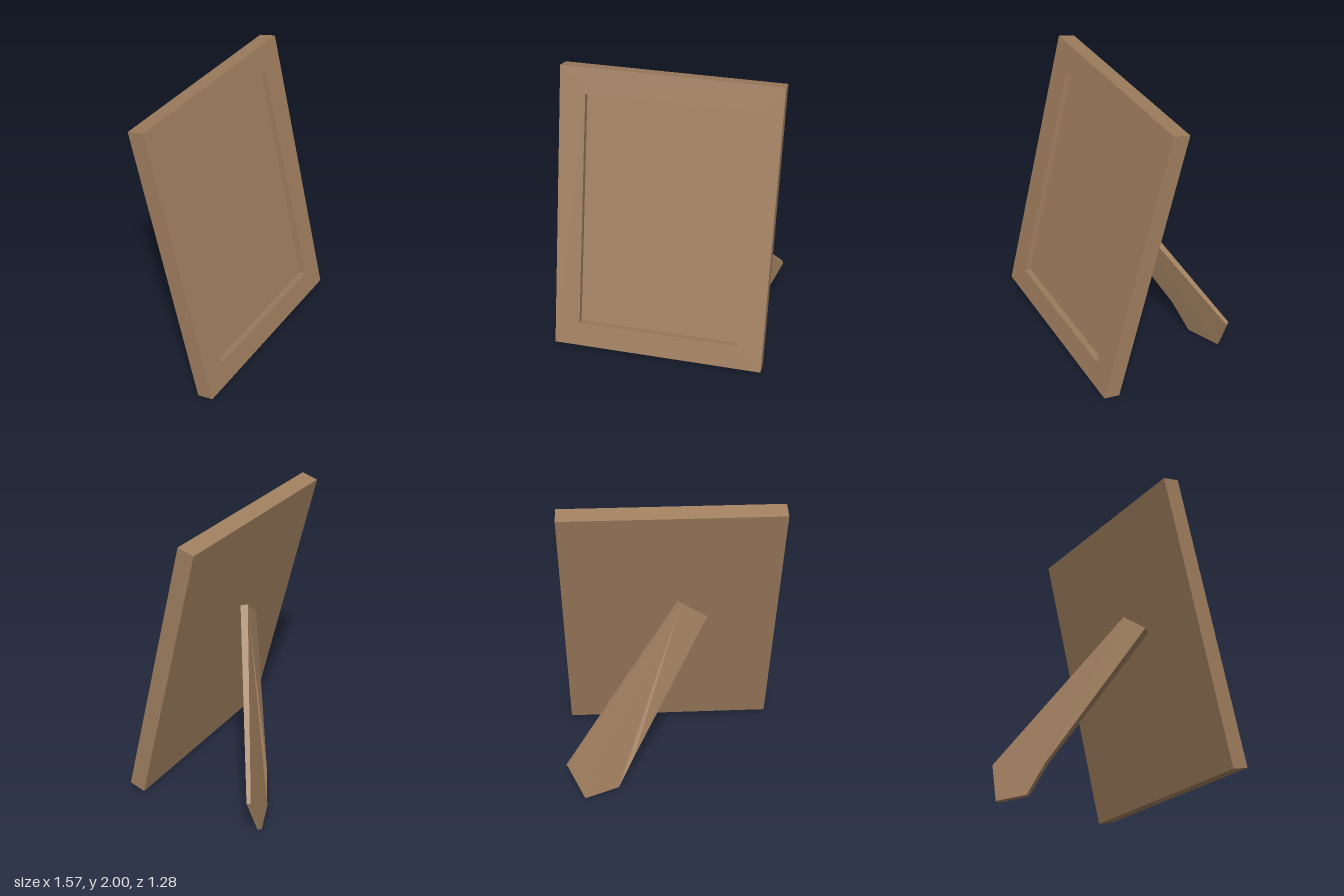
import * as THREE from 'three';

const W = 1.482, H = 2.009, DEPTH = 0.12; // outer frame size
const RIM = 0.175, RECESS = 0.05;         // border width, depth of the picture recess

const wood = new THREE.MeshStandardMaterial({ color: 0xa07f5f, flatShading: true });

function part(name, geometry) {
  const mesh = new THREE.Mesh(geometry, wood);
  mesh.name = name;
  return mesh;
}

function rectangle(PathType, x0, y0, x1, y1) {
  return new PathType([[x0, y0], [x1, y0], [x1, y1], [x0, y1]].map(p => new THREE.Vector2(...p)));
}

// Flat polygon seen from its outer side, thickened by one offset per corner
function slab(outer, inner) {
  const pos = [], n = outer.length;
  const tri = (...corners) => corners.forEach(c => pos.push(c.x, c.y, c.z));
  for (let i = 0; i < n; i++) {
    const j = (i + 1) % n;
    if (i > 0 && i < n - 1) {
      tri(outer[0], outer[i], outer[j]);
      tri(inner[0], inner[j], inner[i]);
    }
    tri(outer[i], inner[i], inner[j]);
    tri(outer[i], inner[j], outer[j]);
  }
  const g = new THREE.BufferGeometry();
  g.setAttribute('position', new THREE.Float32BufferAttribute(pos, 3));
  g.computeVertexNormals();
  return g;
}

export function createModel() {
  const model = new THREE.Group();
  model.name = 'pictureFrame';

  // Leaning frame, with its origin at the bottom of the front face
  const body = new THREE.Group();
  body.name = 'frameBody';
  const border = rectangle(THREE.Shape, -W / 2, 0, W / 2, H);
  border.holes.push(rectangle(THREE.Path, -W / 2 + RIM, RIM, W / 2 - RIM, H - RIM));
  const frame = part('frameBorder',
    new THREE.ExtrudeGeometry(border, { depth: DEPTH, bevelEnabled: false }));
  frame.position.z = -DEPTH;

  const panel = part('picturePanel',
    new THREE.BoxGeometry(W - 2 * RIM, H - 2 * RIM, DEPTH - RECESS));
  panel.position.set(0, H / 2, -(DEPTH + RECESS) / 2);

  body.add(frame, panel);
  body.rotation.set(-0.243, 0.199, 0, 'YXZ');
  body.position.set(0.058, 0.05, 0.49);
  model.add(body);

  // Diagonal stand: narrow at the hinge, wide near the ground, flat foot
  const outer = [
    [-0.10, 1.25, 0.05], [0.58, 0.29, -0.64], [0.47, 0.005, -0.637],
    [0.26, 0.005, -0.492], [0.165, 0.215, -0.397], [-0.274, 1.103, 0.135],
  ].map(p => new THREE.Vector3(...p));
  const offset = new THREE.Vector3(0.016, -0.005, 0.023);
  // The hinge end is thicker so that it reaches the back of the frame
  const inner = outer.map((p, i) => p.clone().addScaledVector(offset, i === 0 || i === 5 ? 1.8 : 1));
  model.add(part('standLeg', slab(outer, inner)));

  return model;
}
